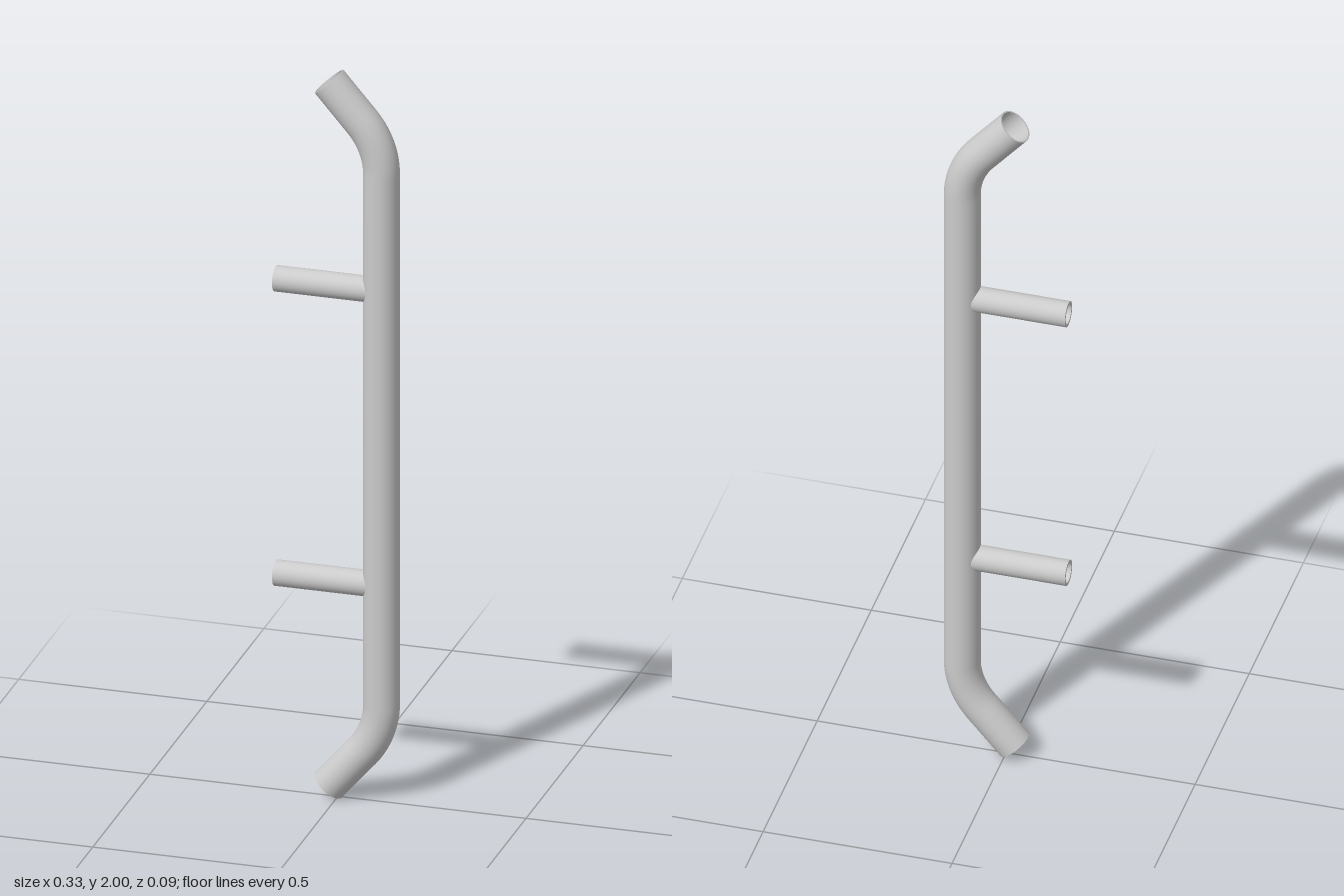
import * as THREE from 'three';
import { mergeGeometries } from 'three/addons/utils/BufferGeometryUtils.js';

const GRIP_X = 0.116, GRIP_R = 0.047, MID_Y = 1;
const BEND_R = 0.211, BEND = THREE.MathUtils.degToRad(41), BEND_Y = 0.73, TIP = 0.134;

// circular arc in the xy plane
class Arc extends THREE.Curve {
  constructor(x, y, r, a0, a1) {
    super();
    Object.assign(this, { x, y, r, a0, a1 });
  }
  getPoint(t, target = new THREE.Vector3()) {
    const a = this.a0 + (this.a1 - this.a0) * t;
    return target.set(this.x + this.r * Math.cos(a), this.y + this.r * Math.sin(a), 0);
  }
}

// hollow pipe: outer wall, inward-facing bore, annular end faces
function pipe(path, outer, inner, segments, sides, closeEnd = true) {
  const wall = new THREE.TubeGeometry(path, segments, outer, sides);
  const bore = new THREE.TubeGeometry(path, segments, inner, sides);
  bore.index.array.reverse();
  const n = bore.attributes.normal;
  for (let i = 0; i < n.array.length; i++) n.array[i] *= -1;
  const parts = [wall, bore];
  for (const t of closeEnd ? [0, 1] : [0]) {
    const rim = new THREE.RingGeometry(inner, outer, sides);
    const p = path.getPointAt(t);
    rim.lookAt(path.getTangentAt(t).multiplyScalar(t ? 1 : -1));
    rim.translate(p.x, p.y, p.z);
    parts.push(rim);
  }
  return mergeGeometries(parts);
}

function gripPath() {
  const cx = GRIP_X - BEND_R;
  const top = new Arc(cx, MID_Y + BEND_Y, BEND_R, 0, BEND);
  const bottom = new Arc(cx, MID_Y - BEND_Y, BEND_R, -BEND, 0);
  const tip = (p, s) => p.clone().add(new THREE.Vector3(-Math.sin(BEND) * TIP, s * Math.cos(BEND) * TIP, 0));
  const b0 = bottom.getPoint(0), b1 = bottom.getPoint(1), t0 = top.getPoint(0), t1 = top.getPoint(1);
  const path = new THREE.CurvePath();
  path.add(new THREE.LineCurve3(tip(b0, -1), b0));
  path.add(bottom);
  path.add(new THREE.LineCurve3(b1, t0));
  path.add(top);
  path.add(new THREE.LineCurve3(t1, tip(t1, 1)));
  return path;
}

export function createModel() {
  const group = new THREE.Group();
  const material = new THREE.MeshStandardMaterial({ color: 0xcccccc });
  const add = (name, geometry) => {
    const mesh = new THREE.Mesh(geometry, material);
    mesh.name = name;
    group.add(mesh);
  };

  // long bent grip tube
  add('gripTube', pipe(gripPath(), GRIP_R, 0.043, 180, 48));

  // two mounting posts, their inner ends cut to fit the grip
  for (const [name, y] of [['upperPost', 1.409], ['lowerPost', 0.597]]) {
    const path = new THREE.LineCurve3(new THREE.Vector3(-0.165, y, 0), new THREE.Vector3(0.08, y, 0));
    const post = pipe(path, 0.034, 0.026, 1, 40, false);
    const pos = post.attributes.position;
    for (let i = 0; i < pos.count; i++) {
      if (pos.getX(i) > 0) pos.setX(i, GRIP_X - Math.sqrt(GRIP_R ** 2 - pos.getZ(i) ** 2));
    }
    add(name, post);
  }
  return group;
}
